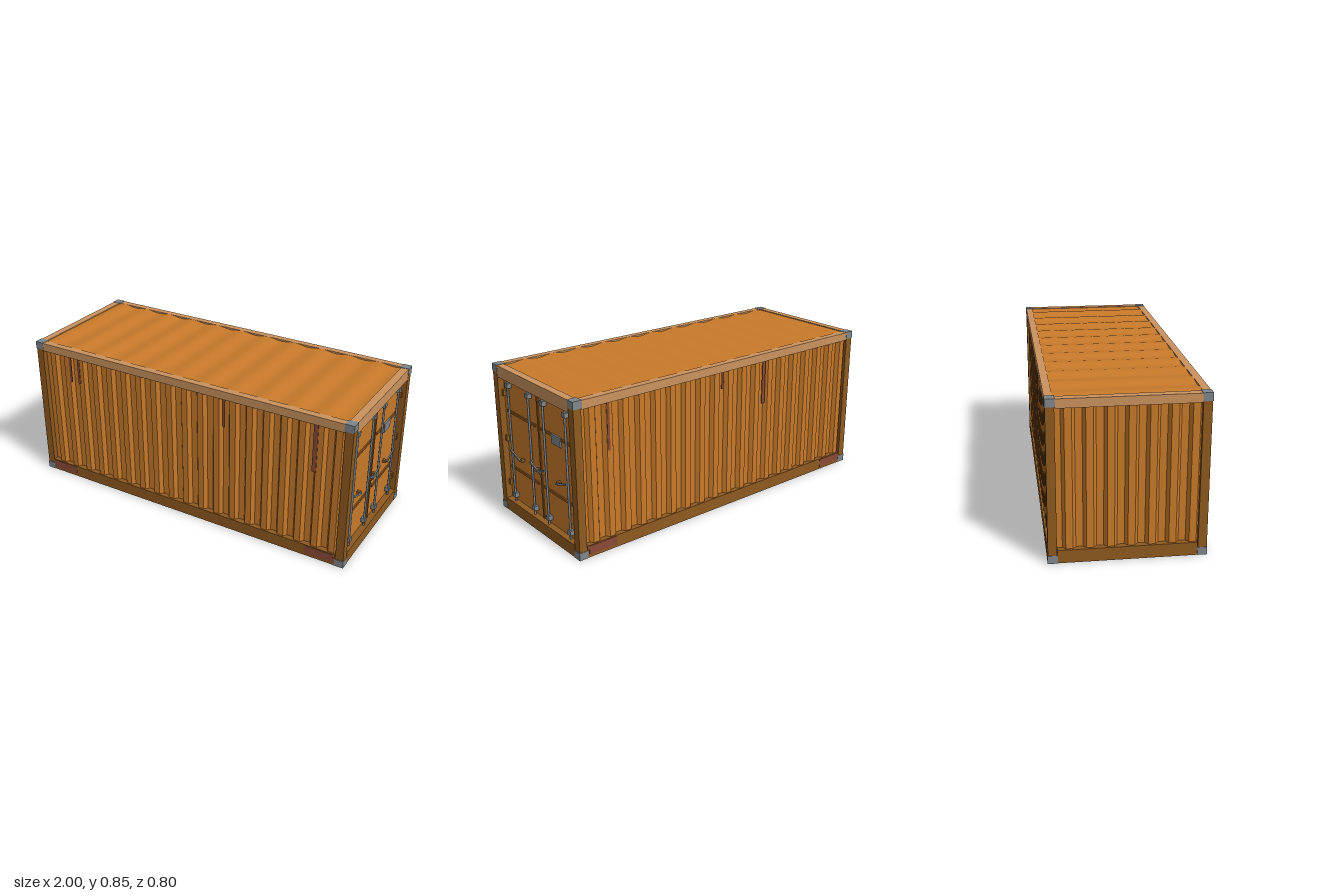
import * as THREE from 'three';

const mat = (name, color, side = THREE.FrontSide) => {
  const m = new THREE.MeshStandardMaterial({ color, side });
  m.name = name;
  return m;
};

// Trapezoid corrugated sheet standing on y0, facing +z, centred on x
function corrugated(length, periods, y0, y1, zIn, zOut) {
  const p = length / periods, pts = [];
  for (let i = 0; i < periods; i++) {
    const x = -length / 2 + i * p;
    pts.push([x, zIn], [x + 0.35 * p, zIn], [x + 0.5 * p, zOut], [x + 0.85 * p, zOut]);
  }
  pts.push([length / 2, zIn]);
  const v = [];
  for (let i = 0; i < pts.length - 1; i++) {
    const [a, c] = pts[i], [b, d] = pts[i + 1];
    v.push(a, y0, c, b, y0, d, b, y1, d, a, y0, c, b, y1, d, a, y1, c);
  }
  const g = new THREE.BufferGeometry();
  g.setAttribute('position', new THREE.Float32BufferAttribute(v, 3));
  g.computeVertexNormals();
  return g;
}

export function createModel() {
  const root = new THREE.Group();
  root.name = 'shippingContainer';
  const panel = mat('panelOrange', 0xc87a2a, THREE.DoubleSide);
  const frame = mat('frameBrown', 0x8f5a20);
  const rail = mat('railTan', 0xca925d);
  const steel = mat('steelGrey', 0x7f868b);
  const rust = mat('rust', 0x8a4a35);

  const add = (name, geo, material, parent = root) => {
    const m = new THREE.Mesh(geo, material);
    m.name = name;
    parent.add(m);
    return m;
  };
  // Box given by its extents on each axis
  const box = (name, material, x0, x1, y0, y1, z0, z1, parent) => {
    const m = add(name, new THREE.BoxGeometry(x1 - x0, y1 - y0, z1 - z0), material, parent);
    m.position.set((x0 + x1) / 2, (y0 + y1) / 2, (z0 + z1) / 2);
    return m;
  };

  // Corner castings and posts
  for (const sx of [-1, 1]) for (const sz of [-1, 1]) {
    for (const y of [0.021, 0.833]) {
      add('cornerCasting', new THREE.BoxGeometry(0.052, 0.042, 0.05), steel)
        .position.set(sx * 0.974, y, sz * 0.375);
    }
    add('cornerPost', new THREE.BoxGeometry(0.045, 0.77, 0.045), frame)
      .position.set(sx * 0.975, 0.427, sz * 0.3755);
  }

  // Long rails, and their rust patches
  for (const s of [-1, 1]) {
    add('topSideRail', new THREE.BoxGeometry(1.9, 0.047, 0.04), rail).position.set(0, 0.8285, s * 0.379);
    add('bottomSideRail', new THREE.BoxGeometry(1.9, 0.068, 0.045), frame).position.set(0, 0.035, s * 0.3765);
    for (const x of [-0.86, 0.855]) {
      add('railRust', new THREE.BoxGeometry(0.17, 0.05, 0.004), rust).position.set(x, 0.04, s * 0.399);
    }
  }
  // End rails
  box('doorHeader', rail, 0.955, 0.998, 0.787, 0.852, -0.35, 0.35);
  box('doorSill', frame, 0.95, 0.998, 0, 0.07, -0.35, 0.35);
  box('topEndRail', rail, -0.998, -0.955, 0.805, 0.852, -0.35, 0.35);
  box('bottomEndRail', frame, -0.998, -0.95, 0, 0.07, -0.35, 0.35);

  // Corrugated walls
  const side = corrugated(1.91, 19, 0.065, 0.81, 0.368, 0.39);
  add('frontWall', side, panel);
  add('backWall', side, panel).rotation.y = Math.PI;
  add('endWall', corrugated(0.72, 7, 0.065, 0.81, 0.966, 0.986), panel).rotation.y = -Math.PI / 2;

  // Gently waved roof
  const roof = new THREE.PlaneGeometry(1.91, 0.724, 110, 1).rotateX(-Math.PI / 2);
  const rp = roof.attributes.position;
  for (let i = 0; i < rp.count; i++) {
    rp.setY(i, 0.847 + 0.005 * Math.sin((rp.getX(i) + 0.955) / 1.91 * 11 * 2 * Math.PI));
  }
  roof.computeVertexNormals();
  add('roof', roof, panel);

  // Rust streaks: side, x, lower end, width
  for (const [s, x, y, w] of [
    [1, -0.76, 0.65, 0.016], [1, -0.7, 0.65, 0.014], [1, 0.267, 0.64, 0.014], [1, 0.797, 0.53, 0.024],
    [-1, 0.795, 0.55, 0.015], [-1, 0.045, 0.71, 0.014], [-1, -0.265, 0.555, 0.022],
  ]) {
    add('rustStreak', new THREE.BoxGeometry(w, 0.805 - y, 0.004), rust)
      .position.set(x, (0.805 + y) / 2, s * 0.391);
  }

  // Door pair with its hardware
  const doors = new THREE.Group();
  doors.name = 'doors';
  root.add(doors);
  box('doorSeal', frame, 0.95, 0.967, 0.07, 0.787, -0.007, 0.007, doors);
  for (const s of [-1, 1]) {
    const part = (name, m, x0, x1, y0, y1, a, b) =>
      box(name, m, x0, x1, y0, y1, Math.min(s * a, s * b), Math.max(s * a, s * b), doors);
    part('doorPanel', panel, 0.945, 0.962, 0.07, 0.787, 0.006, 0.352);
    for (const y of [0.267, 0.596]) part('doorBar', frame, 0.962, 0.969, y - 0.007, y + 0.007, 0.028, 0.326);
    for (const y of [0.166, 0.43, 0.695]) part('hinge', frame, 0.962, 0.978, y - 0.017, y + 0.017, 0.335, 0.352);
    for (const z of [0.073, 0.285]) {
      add('lockRod', new THREE.CylinderGeometry(0.006, 0.006, 0.715, 10), steel, doors)
        .position.set(0.977, 0.4275, s * z);
      for (const y of [0.108, 0.751]) {
        part('rodKeeper', steel, 0.962, 0.987, y - 0.013, y + 0.013, z - 0.014, z + 0.014);
      }
      // Sloping handle and its catch
      const handle = add('lockHandle', new THREE.BoxGeometry(0.008, 0.01, 0.107), steel, doors);
      handle.position.set(0.986, 0.364, s * (z - 0.05));
      handle.rotation.x = -s * Math.atan2(0.032, 0.1);
      part('handleCatch', frame, 0.962, 0.983, 0.34, 0.356, z - 0.109, z - 0.091);
    }
  }
  box('dataPlate', steel, 0.962, 0.971, 0.552, 0.605, -0.218, -0.133, doors);

  return root;
}
